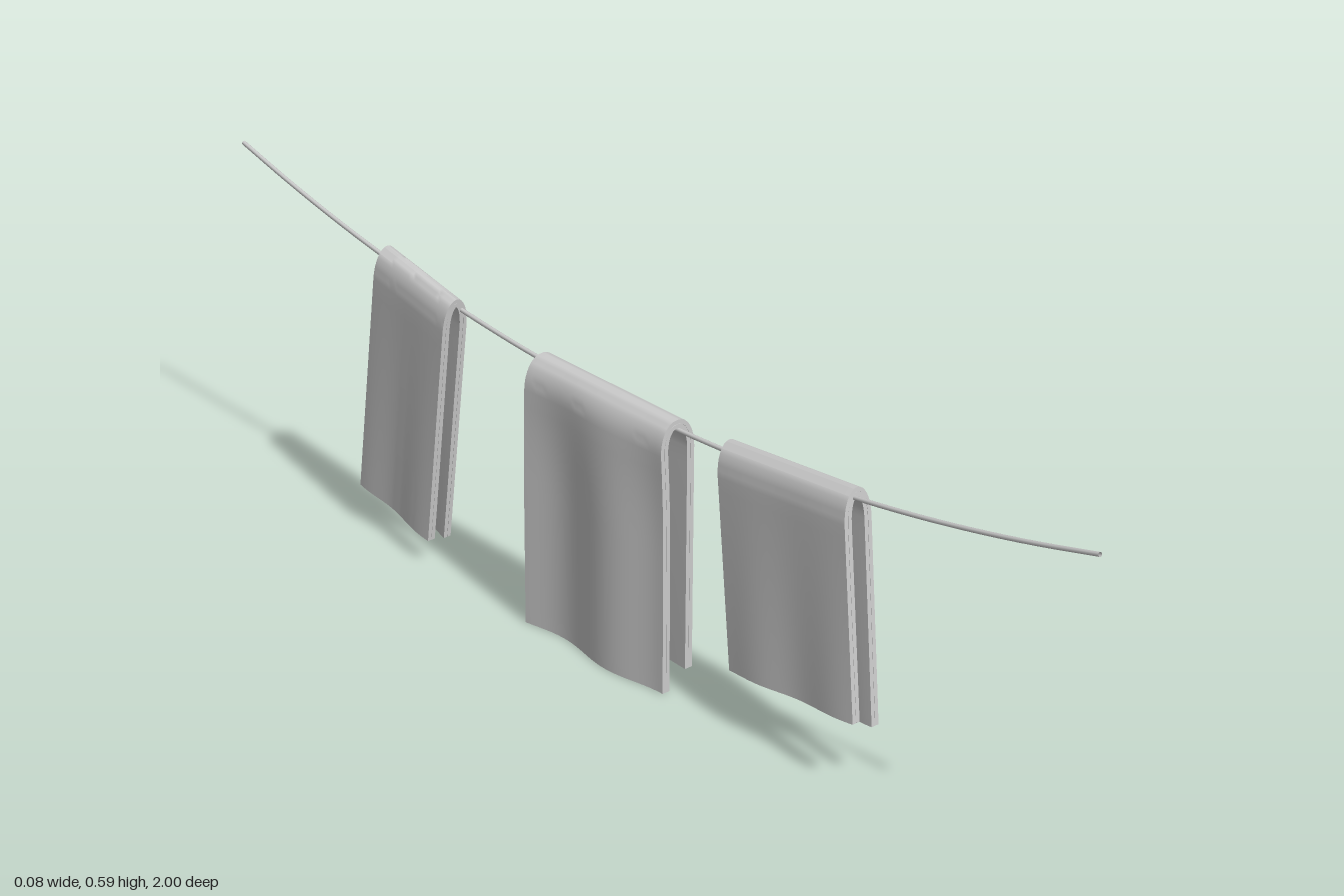
import * as THREE from 'three';
import { toCreasedNormals } from 'three/addons/utils/BufferGeometryUtils.js';

const LEG = 14, ARCH = 16, ROWS = 24;

// Centre line of the draped cloth at one station: up the left leg, over the line, down the right leg.
// k runs from -1 to 1 along the line, inset moves the line inwards for the inner fold.
function drapePath(c, k, inset) {
  const pts = [];
  const rx = (c.xr - c.xl) / 2 - inset, ry = 0.05 - inset, cx = (c.xl + c.xr) / 2;
  const add = (x, y) => {
    const depth = Math.min(1, -y / c.right);
    pts.push(new THREE.Vector2(x + c.skew * k + c.wave(k, depth, x < cx), y));
  };
  for (let i = 0; i < LEG; i++) add(cx - rx, THREE.MathUtils.lerp(-c.left, -0.05, i / LEG));
  for (let i = 0; i <= ARCH; i++) {
    const a = Math.PI * (1 - i / ARCH);
    add(cx + rx * Math.cos(a), -0.05 + ry * Math.sin(a));
  }
  for (let i = 1; i <= LEG; i++) add(cx + rx, THREE.MathUtils.lerp(-0.05, -c.right, i / LEG));
  return pts;
}

// Thick sheet swept along z from the centre lines
function drapedSheet(c, inset, thick) {
  const pos = [], idx = [];
  let n = 0;
  for (let j = 0; j <= ROWS; j++) {
    const k = (j / ROWS) * 2 - 1;
    const path = drapePath(c, k, inset);
    n = path.length;
    const outer = [], inner = [];
    path.forEach((p, i) => {
      const d = path[Math.min(n - 1, i + 1)].clone().sub(path[Math.max(0, i - 1)]).normalize();
      const ox = -d.y * thick / 2, oy = d.x * thick / 2;
      const z = k * c.width / 2;
      outer.push([p.x + ox, p.y + oy, z]);
      inner.unshift([p.x - ox, p.y - oy, z]);
    });
    pos.push(...outer.flat(), ...inner.flat());
  }
  const m = 2 * n;
  for (let j = 0; j < ROWS; j++) {
    for (let i = 0; i < m; i++) {
      const a = j * m + i, b = j * m + (i + 1) % m;
      idx.push(a, a + m, b, b, a + m, b + m);
    }
  }
  // selvedges at both ends
  const e = ROWS * m;
  for (let i = 0; i < n - 1; i++) {
    const o = i, o2 = i + 1, q = m - 1 - i, q2 = m - 2 - i;
    idx.push(e + o, e + q, e + q2, e + o, e + q2, e + o2);
    idx.push(o, q2, q, o, o2, q2);
  }
  const g = new THREE.BufferGeometry();
  g.setAttribute('position', new THREE.Float32BufferAttribute(pos, 3));
  g.setIndex(idx);
  return toCreasedNormals(g, 0.7);
}

export function createModel() {
  const model = new THREE.Group();
  const mat = new THREE.MeshStandardMaterial({ color: 0xcccccc, side: THREE.DoubleSide });

  // Sagging line
  const pts = [];
  for (let i = 0; i <= 16; i++) {
    const z = -1 + i / 8;
    pts.push(new THREE.Vector3(0.005, 0.45 + 0.134 * z * z, z));
  }
  const line = new THREE.Mesh(
    new THREE.TubeGeometry(new THREE.CatmullRomCurve3(pts), 64, 0.0038, 8), mat);
  line.name = 'clothesline';
  model.add(line);

  // Towels: legs are measured down from the top fold
  const towels = [
    {
      name: 'frontTowel', z: 0.37, y: 0.488, tilt: -0.09, width: 0.281, xl: -0.014, xr: 0.034,
      left: 0.375, right: 0.393, skew: 0,
      wave: (k, d, l) => 0.003 * d * Math.sin(k * 5 + (l ? 1 : 0)),
    },
    {
      name: 'middleTowel', z: -0.043, y: 0.47, tilt: 0, width: 0.325, xl: -0.026, xr: 0.034,
      left: 0.468, right: 0.44, skew: 0,
      wave: (k, d, l) => l
        ? -0.004 - 0.008 * Math.sin(Math.min(1, d * 2) * Math.PI / 2) * Math.sin(k * 4.2 + 0.5)
        : 0.002 * d * Math.sin(k * 4),
    },
    {
      name: 'backTowel', z: -0.51, y: 0.508, tilt: 0.125, width: 0.202, xl: -0.021, xr: 0.022,
      left: 0.452, right: 0.458, skew: -0.0075,
      wave: (k, d, l) => 0.003 * d * Math.sin(k * 4 + (l ? 2 : 0)),
    },
  ];
  for (const c of towels) {
    const towel = new THREE.Group();
    towel.name = c.name;
    // Folded double: an outer and an inner layer
    ['outerLayer', 'innerLayer'].forEach((name, i) => {
      const mesh = new THREE.Mesh(drapedSheet(c, i * 0.0075, 0.007), mat);
      mesh.name = name;
      towel.add(mesh);
    });
    towel.position.set(0, c.y - 0.0035, c.z);
    towel.rotation.x = c.tilt;
    model.add(towel);
  }
  return model;
}
